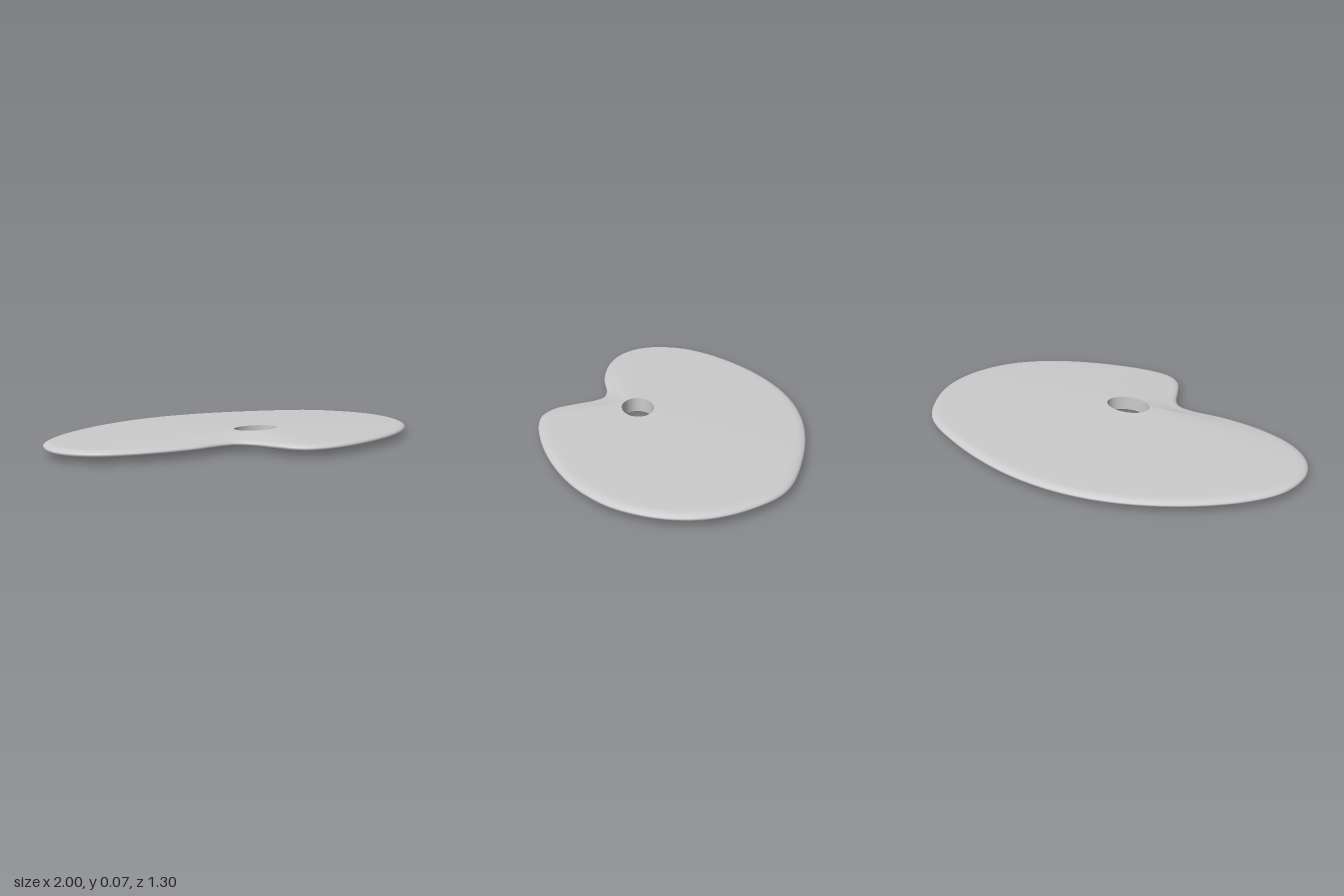
import * as THREE from 'three';

const SEGMENTS = 240;
const MID = 0.0365; // height of the middle plane
const HOLE = { x: -0.015, z: 0.157, rx: 0.116, rz: 0.081 };

// Outline of the board as x, z pairs, starting at the back
const OUTLINE = [
  [0, -0.656], [0.25, -0.63], [0.56, -0.535], [0.83, -0.39], [0.945, -0.22], [0.997, -0.04],
  [0.975, 0.14], [0.88, 0.32], [0.75, 0.44], [0.59, 0.53], [0.35, 0.61], [0.09, 0.648],
  [-0.04, 0.633], [-0.115, 0.575], [-0.16, 0.47], [-0.195, 0.37], [-0.235, 0.322], [-0.31, 0.303],
  [-0.5, 0.308], [-0.72, 0.273], [-0.88, 0.2], [-0.97, 0.1], [-1, -0.02], [-0.955, -0.19],
  [-0.84, -0.33], [-0.64, -0.475], [-0.42, -0.58], [-0.21, -0.638],
];

// Rim section from top to bottom: inset from the outline, height above the middle plane
const RIM = [
  [0.05, 0.0178], [0.034, 0.0172], [0.02, 0.0145], [0.008, 0.010], [0, 0.004],
  [0, -0.004], [0.008, -0.010], [0.02, -0.0145], [0.034, -0.0172], [0.05, -0.0178],
];

// Joins closed rings of points into a smooth skin
function skin(rings) {
  const positions = [], index = [];
  rings.forEach((ring) => ring.forEach((p) => positions.push(p.x, p.y, p.z)));
  for (let r = 0; r < rings.length - 1; r++) {
    for (let i = 0; i < SEGMENTS; i++) {
      const j = (i + 1) % SEGMENTS;
      const a = r * SEGMENTS + i, b = r * SEGMENTS + j;
      index.push(a, b, a + SEGMENTS, b, b + SEGMENTS, a + SEGMENTS);
    }
  }
  const geometry = new THREE.BufferGeometry();
  geometry.setAttribute('position', new THREE.Float32BufferAttribute(positions, 3));
  geometry.setIndex(index);
  geometry.computeVertexNormals();
  return geometry;
}

export function createModel() {
  const group = new THREE.Group();
  group.name = 'paintPalette';
  const material = new THREE.MeshStandardMaterial({ color: 0xcccccc });

  const curve = new THREE.CatmullRomCurve3(
    OUTLINE.map(([x, z]) => new THREE.Vector3(x, MID, z)), true, 'centripetal');
  const outline = curve.getSpacedPoints(SEGMENTS).slice(0, SEGMENTS);

  // Ring inset along the outline's normals
  const rimRing = ([inset, dy]) => outline.map((p, i) => {
    const t = outline[(i + 1) % SEGMENTS].clone()
      .sub(outline[(i + SEGMENTS - 1) % SEGMENTS]).normalize();
    return new THREE.Vector3(p.x - t.z * inset, MID + dy, p.z + t.x * inset);
  });

  // Ring round the thumb hole, each point facing its point on the outline
  const holeRing = (dy) => outline.map((p) => {
    const a = Math.atan2((p.z - HOLE.z) / HOLE.rz, (p.x - HOLE.x) / HOLE.rx);
    return new THREE.Vector3(
      HOLE.x + HOLE.rx * Math.cos(a), MID + dy, HOLE.z + HOLE.rz * Math.sin(a));
  });
  const blend = (from, to, t) => from.map((p, i) => p.clone().lerp(to[i], t));

  // Board: thickest at the hole, thinning towards a rounded rim
  const rim = RIM.map(rimRing);
  const holeTop = holeRing(MID), holeBottom = holeRing(-MID);
  const steps = [0.05, 0.25, 0.5, 0.75];
  const board = new THREE.Mesh(skin([
    holeTop,
    ...steps.map((t) => blend(holeTop, rim[0], t)),
    ...rim,
    ...steps.map((t) => blend(holeBottom, rim[rim.length - 1], t)).reverse(),
    holeBottom,
  ]), material);
  board.name = 'board';

  // Wall of the thumb hole
  const wall = new THREE.Mesh(skin([holeBottom, holeTop]), material);
  wall.name = 'thumbHoleWall';

  group.add(board, wall);
  return group;
}
